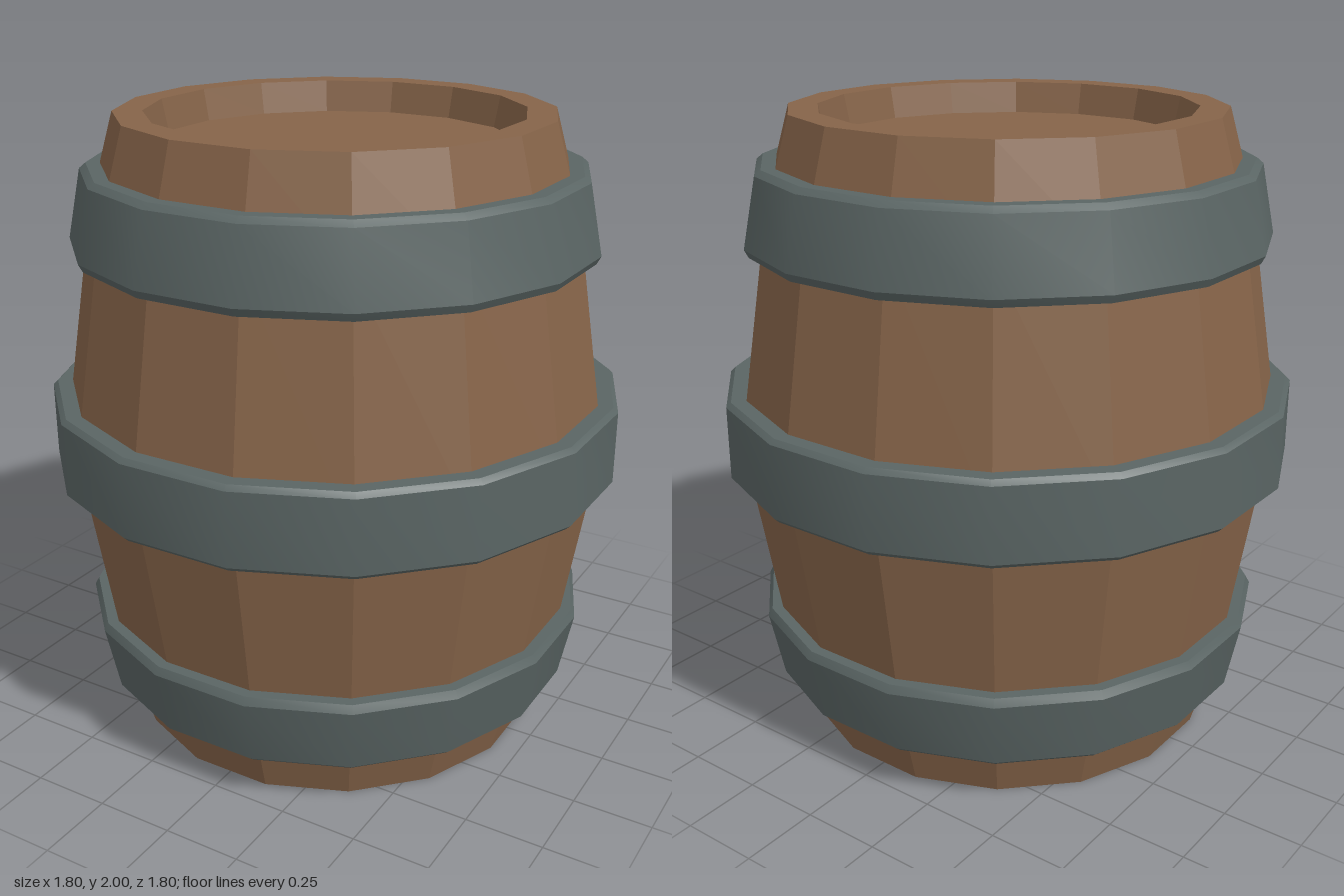
import * as THREE from 'three';
import { toCreasedNormals } from 'three/addons/utils/BufferGeometryUtils.js';

const SIDES = 16;
const HALF = Math.PI / SIDES;

// Turns a profile of [flat radius, height] pairs, listed bottom to top on the outside
function turn(name, profile, material, crease) {
  const points = profile.map(([r, y]) => new THREE.Vector2(r / Math.cos(HALF), y));
  const lathe = new THREE.LatheGeometry(points, SIDES, HALF);
  const mesh = new THREE.Mesh(toCreasedNormals(lathe, crease), material);
  mesh.name = name;
  return mesh;
}

// Mirrors a profile about mid height, keeping it listed bottom to top
const flip = (profile) => profile.map(([r, y]) => [r, 2 - y]).reverse();

export function createModel() {
  const wood = new THREE.MeshStandardMaterial({ name: 'wood', color: 0x866449 });
  const iron = new THREE.MeshStandardMaterial({ name: 'iron', color: 0x5a6564 });
  const barrel = new THREE.Group();
  barrel.name = 'barrel';

  // Staves: faceted bulging wall with the chamfered rim
  const lowerWall = [[0.575, 0], [0.665, 0], [0.75, 0.3], [0.86, 1]];
  const wall = [...lowerWall, ...flip(lowerWall).slice(1)];
  barrel.add(turn('staves', wall, wood, 0.05));

  // Recessed heads at both ends
  const topHead = [[0.575, 2], [0.555, 1.9], [0, 1.9]];
  barrel.add(turn('topHead', topHead, wood, 0.05));
  barrel.add(turn('bottomHead', flip(topHead), wood, 0.05));

  // Hoops: smooth around, with crisp bevelled edges
  const middleHoop = [[0.8, 0.877], [0.885, 0.877], [0.9, 0.892], [0.9, 1.125], [0.885, 1.14], [0.8, 1.14]];
  const upperHoop = [[0.7, 1.587], [0.802, 1.587], [0.815, 1.612], [0.772, 1.828], [0.752, 1.845], [0.66, 1.845]];
  barrel.add(turn('upperHoop', upperHoop, iron, 0.5));
  barrel.add(turn('middleHoop', middleHoop, iron, 0.5));
  barrel.add(turn('lowerHoop', flip(upperHoop), iron, 0.5));

  return barrel;
}
